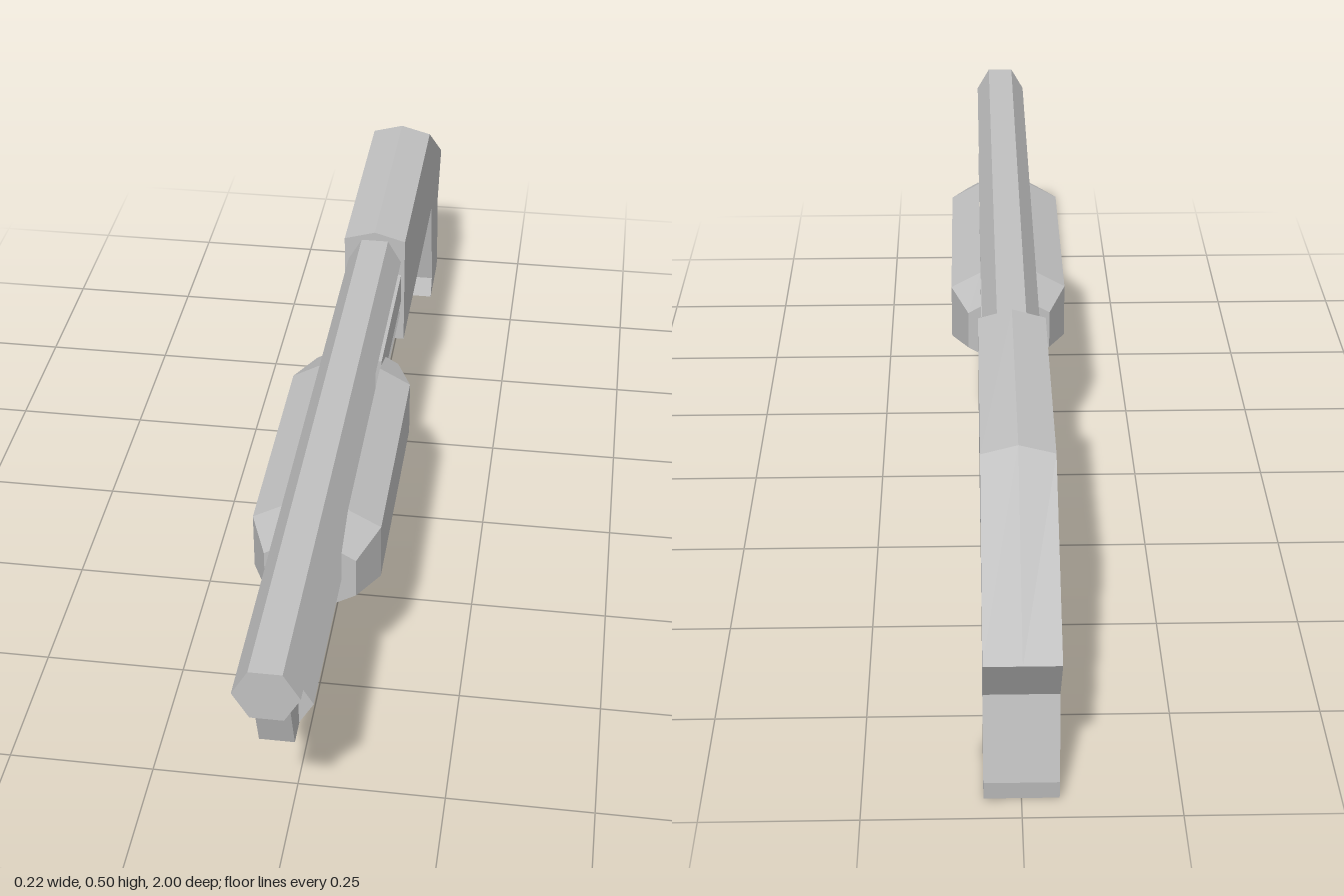
import * as THREE from 'three';

const grey = new THREE.MeshStandardMaterial({ color: 0xc0c0c0 });
grey.name = 'grey';

// Flat side profile of [z, y] points, extruded across x and centred at x
function sideProfile(name, points, width, x = 0) {
  const shape = new THREE.Shape(points.map(([z, y]) => new THREE.Vector2(z, y)));
  const geo = new THREE.ExtrudeGeometry(shape, { depth: width, bevelEnabled: false });
  geo.translate(0, 0, -width / 2).rotateY(-Math.PI / 2).translate(x, 0, 0);
  return named(name, geo);
}

// Hexagonal bar along z with corners at its left and right
function hexBar(name, radius, y, z0, z1) {
  const geo = new THREE.CylinderGeometry(radius, radius, z1 - z0, 6).toNonIndexed();
  geo.rotateY(Math.PI / 6).rotateX(Math.PI / 2).translate(0, y, (z0 + z1) / 2);
  geo.computeVertexNormals();
  return named(name, geo);
}

// Faceted solid through counter-clockwise [x, y] sections, with z increasing
function loft(name, stations) {
  const pos = [];
  const count = stations[0].points.length;
  const put = (s, i) => pos.push(...stations[s].points[i % count], stations[s].z);
  const tri = (...corners) => corners.forEach(([s, i]) => put(s, i));
  const last = stations.length - 1;
  for (let s = 0; s < last; s++) {
    for (let i = 0; i < count; i++) {
      tri([s, i], [s, i + 1], [s + 1, i + 1]);
      tri([s, i], [s + 1, i + 1], [s + 1, i]);
    }
  }
  for (const s of [0, last]) {
    const contour = stations[s].points.map(([x, y]) => new THREE.Vector2(x, y));
    for (const [a, b, c] of THREE.ShapeUtils.triangulateShape(contour, [])) {
      if (s === last) tri([s, a], [s, b], [s, c]);
      else tri([s, a], [s, c], [s, b]);
    }
  }
  const geo = new THREE.BufferGeometry();
  geo.setAttribute('position', new THREE.Float32BufferAttribute(pos, 3));
  geo.computeVertexNormals();
  return named(name, geo);
}

function named(name, geo) {
  const mesh = new THREE.Mesh(geo, grey);
  mesh.name = name;
  return mesh;
}

// Grip section: faceted outside, open channel on top for the tube
function gripSection(bottom, low, high, top, half) {
  const right = [[half, low], [half, high], [0.053, top], [0.053, 0.317], [0.027, 0.272]];
  const left = right.map(([x, y]) => [-x, y]).reverse();
  return [[0, bottom], ...right, ...left];
}

export function createModel() {
  const model = new THREE.Group();
  model.name = 'pumpActionModel';

  // Barrel, tube below it and the block joining them at the front
  model.add(hexBar('barrel', 0.052, 0.434, -0.26, 1));
  model.add(hexBar('lowerTube', 0.052, 0.317, -0.26, 0.885));
  model.add(sideProfile('frontBracket',
    [[0.965, 0.395], [0.925, 0.272], [0.88, 0.272], [0.88, 0.355], [0.89, 0.395]], 0.056));

  // Slide bar on the left side, from the grip to the body
  model.add(sideProfile('slideBar',
    [[0.06, 0.405], [-0.26, 0.405], [-0.26, 0.343], [0.06, 0.343]], 0.011, 0.0475));

  // Sliding grip with tapered ends
  const end = gripSection(0.243, 0.288, 0.362, 0.376, 0.077);
  const middle = gripSection(0.208, 0.27, 0.375, 0.406, 0.109);
  model.add(loft('slidingGrip', [
    { z: 0, points: end }, { z: 0.085, points: middle },
    { z: 0.51, points: middle }, { z: 0.588, points: end },
  ]));

  // Body and handle in one profile
  model.add(sideProfile('bodyAndHandle', [
    [-0.25, 0.48], [-0.71, 0.48], [-1, 0.29], [-0.935, 0.188], [-0.965, 0.04],
    [-0.96, 0.005], [-0.825, 0], [-0.842, 0.04], [-0.795, 0.255], [-0.25, 0.255],
  ], 0.119));

  // Low ridge along the top, fading out at the rear
  const ridge = (y, peak) => [[-0.0595, y], [0.0595, y], [0, peak]];
  model.add(loft('topRidge', [
    { z: -1, points: ridge(0.29, 0.2901) },
    { z: -0.71, points: ridge(0.48, 0.496) },
    { z: -0.25, points: ridge(0.48, 0.497) },
  ]));

  // Trigger guard: thin open strap
  model.add(sideProfile('triggerGuard', [
    [-0.64, 0.26], [-0.665, 0.205], [-0.705, 0.172], [-0.785, 0.172], [-0.8, 0.26],
    [-0.791, 0.26], [-0.778, 0.179], [-0.708, 0.179], [-0.673, 0.209], [-0.649, 0.26],
  ], 0.048));
  model.add(sideProfile('trigger',
    [[-0.745, 0.26], [-0.752, 0.225], [-0.743, 0.188], [-0.768, 0.225], [-0.775, 0.26]], 0.018));

  return model;
}
